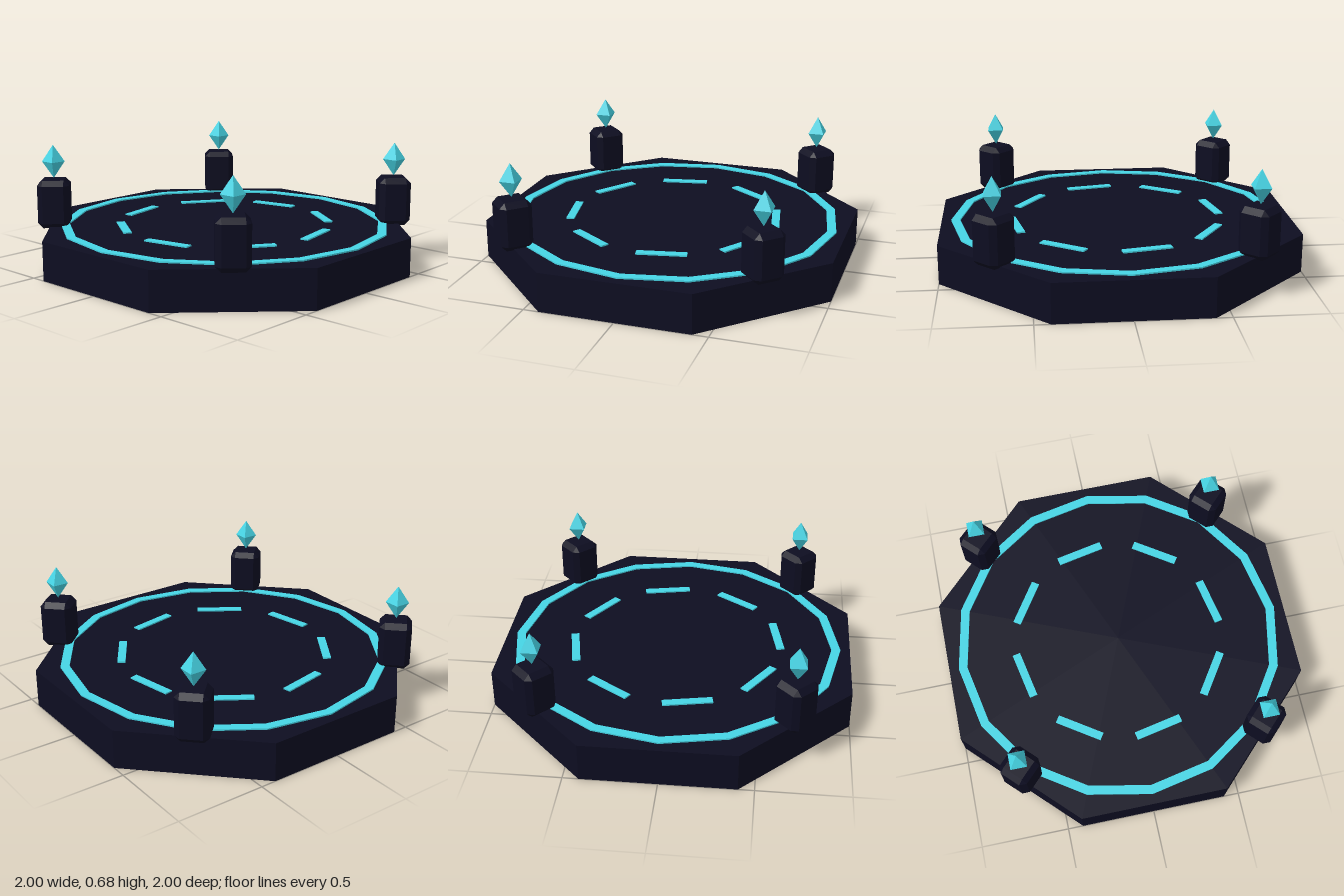
import * as THREE from 'three';
import { ConvexGeometry } from 'three/addons/geometries/ConvexGeometry.js';

// Box with every edge cut off by c
function chamferBox(w, h, d, c) {
  const points = [];
  for (const sx of [-1, 1]) for (const sy of [-1, 1]) for (const sz of [-1, 1]) {
    const x = sx * w / 2, y = sy * h / 2, z = sz * d / 2;
    const ix = x - sx * c, iy = y - sy * c, iz = z - sz * c;
    points.push(
      new THREE.Vector3(x, iy, iz),
      new THREE.Vector3(ix, y, iz),
      new THREE.Vector3(ix, iy, z)
    );
  }
  return new ConvexGeometry(points);
}

export function createModel() {
  const model = new THREE.Group();
  model.name = 'runePlatform';

  const stone = new THREE.MeshStandardMaterial({ color: 0x0d0d21, flatShading: true });
  stone.name = 'dark stone';
  const glow = new THREE.MeshStandardMaterial({ color: 0x46d4e4, flatShading: true });
  glow.name = 'cyan glow';

  function add(parent, name, geometry, material, x, y, z, turn = 0) {
    const mesh = new THREE.Mesh(geometry, material);
    mesh.name = name;
    mesh.position.set(x, y, z);
    mesh.rotation.y = turn;
    parent.add(mesh);
    return mesh;
  }

  // Octagonal slab with flat sides facing the axes
  const radius = 1 / Math.cos(Math.PI / 8);
  add(model, 'slab', new THREE.CylinderGeometry(radius, radius, 0.22, 8), stone, 0, 0.11, 0, Math.PI / 8);

  // Circles of thin glowing strips lying on the slab
  function stripCircle(name, count, r, length, width) {
    const group = new THREE.Group();
    group.name = name;
    const strip = new THREE.BoxGeometry(length, 0.016, width);
    for (let i = 0; i < count; i++) {
      const a = (i + 0.5) / count * Math.PI * 2;
      // the inner dashes sit a quarter step round
      const turn = count === 8 ? a - Math.PI / 16 * 3 : a;
      const angle = count === 8 ? turn + Math.PI / 8 : turn;
      add(group, name + 'Strip', strip, glow, Math.sin(angle) * r, 0.22, Math.cos(angle) * r, angle);
    }
    model.add(group);
  }
  stripCircle('outerRing', 16, 0.902, 0.37, 0.05);
  stripCircle('innerDashes', 8, 0.587, 0.275, 0.046);

  // Corner pillars, each with a floating crystal
  const pillar = chamferBox(0.18, 0.275, 0.18, 0.03);
  const crystal = new THREE.OctahedronGeometry(1).scale(0.064, 0.095, 0.064);
  for (const sx of [-1, 1]) for (const sz of [-1, 1]) {
    const corner = new THREE.Group();
    corner.name = 'cornerPost';
    corner.position.set(sx * 0.69, 0, sz * 0.69);
    add(corner, 'pillar', pillar, stone, 0, 0.348, 0, Math.PI / 4);
    add(corner, 'crystal', crystal, glow, 0, 0.587, 0, Math.PI / 4);
    model.add(corner);
  }
  return model;
}
